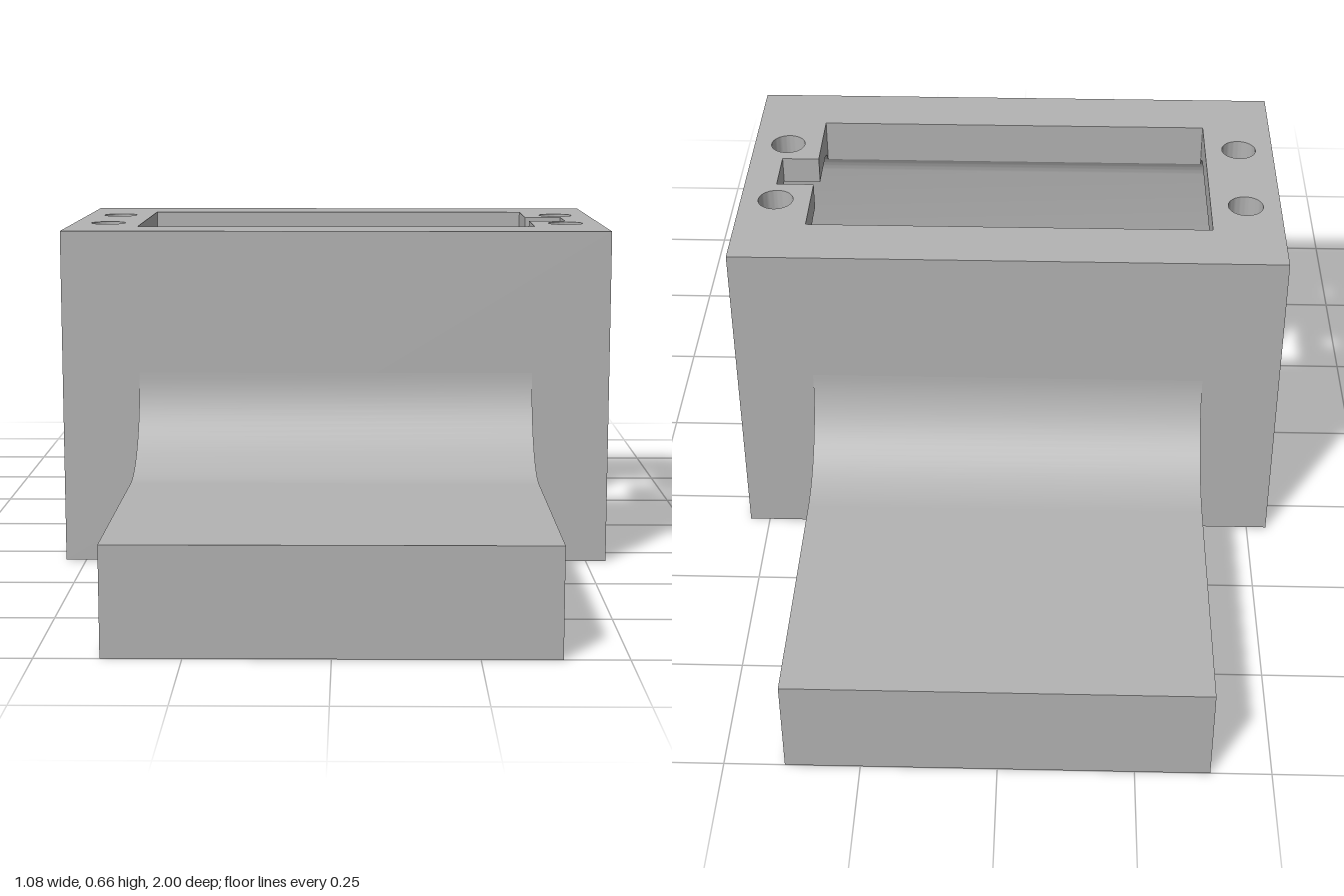
import * as THREE from 'three';
import { toCreasedNormals } from 'three/addons/utils/BufferGeometryUtils.js';

const TOP = 0.66, HALF = 0.54, WALL = 0.32, CEIL = 0.605, FLOOR = 0.11;
const SLOT_X = 0.4, SLOT_Z = 0.2, HOLE_ROW = 0.145;
const BIG = { z: -0.085, y: 0.425, r: 0.18 };   // rear upper tunnel corner
const SMALL = { z: 0.14, y: 0.535, r: 0.07 };   // front upper tunnel corner

// Height of the tunnel ceiling at a given z
function ceiling(z) {
  const c = z < BIG.z ? BIG : z > SMALL.z ? SMALL : null;
  return c ? c.y + Math.sqrt(Math.max(0, c.r * c.r - (z - c.z) ** 2)) : CEIL;
}

function arc(z, y, r, a0, a1, n = 16) {
  return Array.from({ length: n + 1 }, (_, i) => {
    const a = a0 + (a1 - a0) * i / n;
    return [z + r * Math.cos(a), y + r * Math.sin(a)];
  });
}

const toShape = (pts) => new THREE.Shape(pts.map(([a, b]) => new THREE.Vector2(a, b)));

// Extrude a (z, y) section along x
function section(pts, x0, x1) {
  const g = new THREE.ExtrudeGeometry(toShape(pts), { depth: x1 - x0, bevelEnabled: false });
  g.rotateY(-Math.PI / 2).translate(x1, 0, 0);
  return toCreasedNormals(g, 0.5);
}

export function createModel() {
  const group = new THREE.Group();
  const grey = new THREE.MeshStandardMaterial({ color: 0xb3b3b3 });
  grey.name = 'grey';
  const add = (name, geometry) => {
    const mesh = new THREE.Mesh(geometry, grey);
    mesh.name = name;
    group.add(mesh);
  };

  // Floor and both long walls, open above between the slot edges
  const frontEnd = Math.acos((SLOT_Z - SMALL.z) / SMALL.r);
  const rearEnd = Math.acos((-SLOT_Z - BIG.z) / BIG.r);
  add('housingWalls', section([
    [WALL, 0], [WALL, TOP], [SLOT_Z, TOP],
    ...arc(SMALL.z, SMALL.y, SMALL.r, frontEnd, 0, 8),
    ...arc(0.2, FLOOR + 0.01, 0.01, 0, -Math.PI / 2, 4),
    ...arc(-0.185, FLOOR + 0.08, 0.08, -Math.PI / 2, -Math.PI),
    ...arc(BIG.z, BIG.y, BIG.r, Math.PI, rearEnd),
    [-SLOT_Z, TOP], [-WALL, TOP], [-WALL, 0],
  ], -HALF, HALF));

  for (const side of [-1, 1]) {
    const x0 = side < 0 ? -HALF : SLOT_X;
    const x1 = side < 0 ? -SLOT_X : HALF;

    // Rounded shoulders of the roof at each end of the slot
    for (const [z0, z1] of [[-SLOT_Z, -HOLE_ROW], [HOLE_ROW, SLOT_Z]]) {
      const under = Array.from({ length: 9 }, (_, i) => {
        const z = z0 + (z1 - z0) * i / 8;
        return [z, ceiling(z)];
      });
      add('roofShoulder', section([...under, [z1, TOP], [z0, TOP]], x0, x1));
    }

    // Roof bridge with two screw holes, and a notch on the left one
    const steps = [-HOLE_ROW, -0.13, -0.115, -0.1, BIG.z];
    const notch = side > 0 ? [[x0, 0.05], [0.475, 0.05], [0.475, -0.05], [x0, -0.05]] : [];
    const plan = toShape([
      ...steps.map((z) => [x1, -z]).reverse(),
      ...steps.map((z) => [x0, -z]),
      ...notch,
      [x0, -HOLE_ROW], [x1, -HOLE_ROW],
    ]);
    for (const z of [-0.11, 0.11]) {
      plan.holes.push(new THREE.Path().absarc(side * 0.47, -z, 0.0349, 0, Math.PI * 2, true));
    }
    const bridge = new THREE.ExtrudeGeometry(plan, { depth: TOP - CEIL, bevelEnabled: false, curveSegments: 32 });
    bridge.rotateX(-Math.PI / 2).translate(0, CEIL, 0);
    const p = bridge.attributes.position;
    for (let i = 0; i < p.count; i++) {
      if (p.getY(i) < TOP - 0.01) p.setY(i, ceiling(p.getZ(i)));
    }
    add('roofBridge', toCreasedNormals(bridge, 0.5));
  }

  // Base flanges with a concave fillet up to the housing
  const fillet = arc(0.505, 0.38, 0.185, Math.PI, Math.PI * 1.5, 24);
  const flange = [[0.32, 0], ...fillet, [1, 0.195], [1, 0]];
  add('frontFlange', section(flange, -0.388, 0.388));
  add('backFlange', section(flange.map(([z, y]) => [-z, y]), -0.388, 0.388));

  return group;
}
